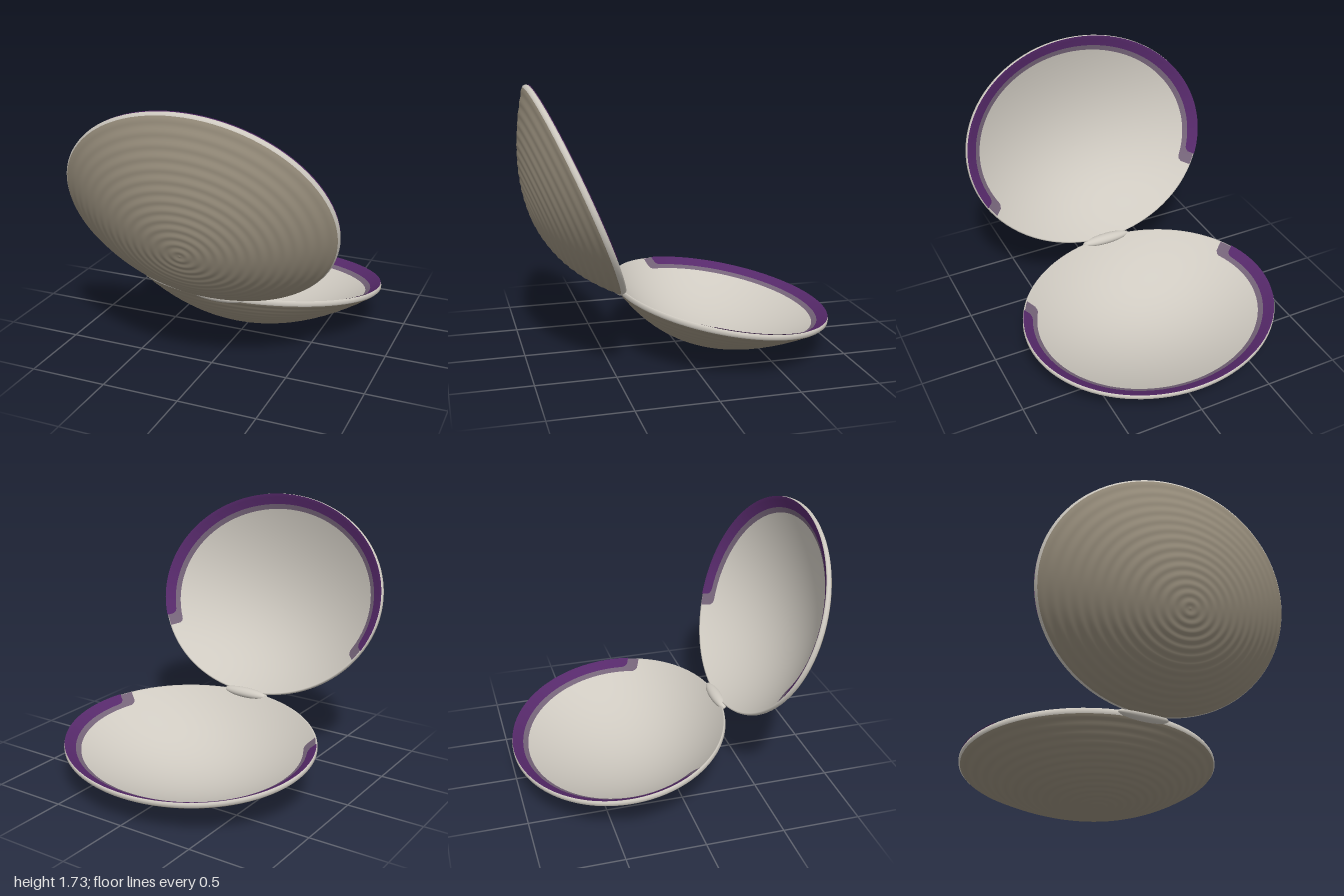
import * as THREE from 'three';

const HALF_W = 0.86, HALF_L = 0.708, SHIFT = 0.07, EDGE = 0.982;

const mat = (name, color, side = THREE.FrontSide) => {
  const m = new THREE.MeshStandardMaterial({ color, side });
  m.name = name;
  return m;
};

// Point on a nested ellipse: r = 0 at the crown, 1 at the rim; hinge at the origin, shell towards -z
function shellPoint(r, a, y) {
  const u = HALF_L * r * Math.sin(a) - SHIFT * (1 - r * r);
  return [HALF_W * r * Math.cos(a), y, -(HALF_L + u)];
}

// Skin of rows x columns points; closed joins the last column to the first
function skin(rows, cols, closed, point) {
  const pos = [], index = [];
  const n = closed ? cols : cols + 1;
  for (let i = 0; i <= rows; i++)
    for (let j = 0; j < n; j++) pos.push(...point(i / rows, j / cols));
  for (let i = 0; i < rows; i++)
    for (let j = 0; j < cols; j++) {
      const k = (j + 1) % n;
      const a = i * n + j, b = (i + 1) * n + j, c = (i + 1) * n + k, d = i * n + k;
      index.push(a, b, c, a, c, d);
    }
  const g = new THREE.BufferGeometry();
  g.setAttribute('position', new THREE.Float32BufferAttribute(pos, 3));
  g.setIndex(index);
  g.computeVertexNormals();
  return g;
}

const innerY = (r) => r < EDGE
  ? 0.010 - 0.29 * (1 - (r / EDGE) ** 2)
  : 0.010 + (r - EDGE) * 0.4;

// Concave inside
const innerGeometry = () => skin(32, 96, true, (s, t) => {
  const r = Math.max(s * EDGE, 0.001);
  return shellPoint(r, t * Math.PI * 2, innerY(r));
});

// Rounded lip
function lipGeometry() {
  const profile = [[EDGE, 0.010], [0.992, 0.014], [1, 0.004], [1, -0.012], [0.99, -0.022]];
  return skin(4, 96, true, (s, t) => {
    const [r, y] = profile[Math.round(s * 4)];
    return shellPoint(r, t * Math.PI * 2, y);
  });
}

// Convex outside with fine growth rings
const outerGeometry = () => skin(84, 96, true, (s, t) => {
  const q = Math.max(1 - s, 0.001);
  const y = -0.022 - 0.29 * (1 - q * q) + 0.002 * Math.sin(q * 14 * Math.PI * 2);
  return shellPoint(q * 0.99, t * Math.PI * 2, y);
});

// Painted band along the far rim, with rounded ends
function bandGeometry(inner, outer, overrun, lift) {
  const span = Math.PI + 2 * overrun, round = 0.09;
  return skin(6, 160, false, (s, t) => {
    const a = -overrun + t * span;
    const end = Math.min(1, Math.min(t, 1 - t) * span / round);
    const width = (outer - inner) * Math.sqrt(1 - (1 - end) ** 2);
    const r = outer - width * (1 - s);
    return shellPoint(r, a, innerY(r) + lift);
  });
}

export function createModel() {
  const outside = mat('outer shell taupe', 0x9a907e);
  const inside = mat('inner shell pearl', 0xcfcac1);
  const purple = mat('deep purple', 0x56296a, THREE.DoubleSide);
  const mauve = mat('soft mauve', 0x756479, THREE.DoubleSide);

  const parts = [
    ['outerSurface', outerGeometry(), outside],
    ['lip', lipGeometry(), inside],
    ['innerSurface', innerGeometry(), inside],
    ['mauveBand', bandGeometry(0.882, 0.986, 0.52, 0.002), mauve],
    ['purpleBand', bandGeometry(0.918, 0.994, 0.41, 0.004), purple],
  ];

  const model = new THREE.Group();
  model.name = 'openClamShell';

  const addMesh = (parent, name, geometry, material) => {
    const mesh = new THREE.Mesh(geometry, material);
    mesh.name = name;
    parent.add(mesh);
    return mesh;
  };

  // Two equal halves swung open about the hinge
  for (const [name, tilt, turn] of [['lowerShell', -0.157, 0], ['upperShell', -1.184, Math.PI]]) {
    const shell = new THREE.Group();
    shell.name = name;
    for (const [part, geometry, material] of parts) addMesh(shell, part, geometry, material);
    shell.position.set(0, 0.42, 0.395);
    shell.rotation.set(tilt, turn, 0);
    model.add(shell);
  }

  // Hinge ligament
  const hinge = addMesh(model, 'hinge', new THREE.SphereGeometry(1, 32, 20), inside);
  hinge.scale.set(0.175, 0.035, 0.042);
  hinge.position.set(0, 0.418, 0.388);

  return model;
}
